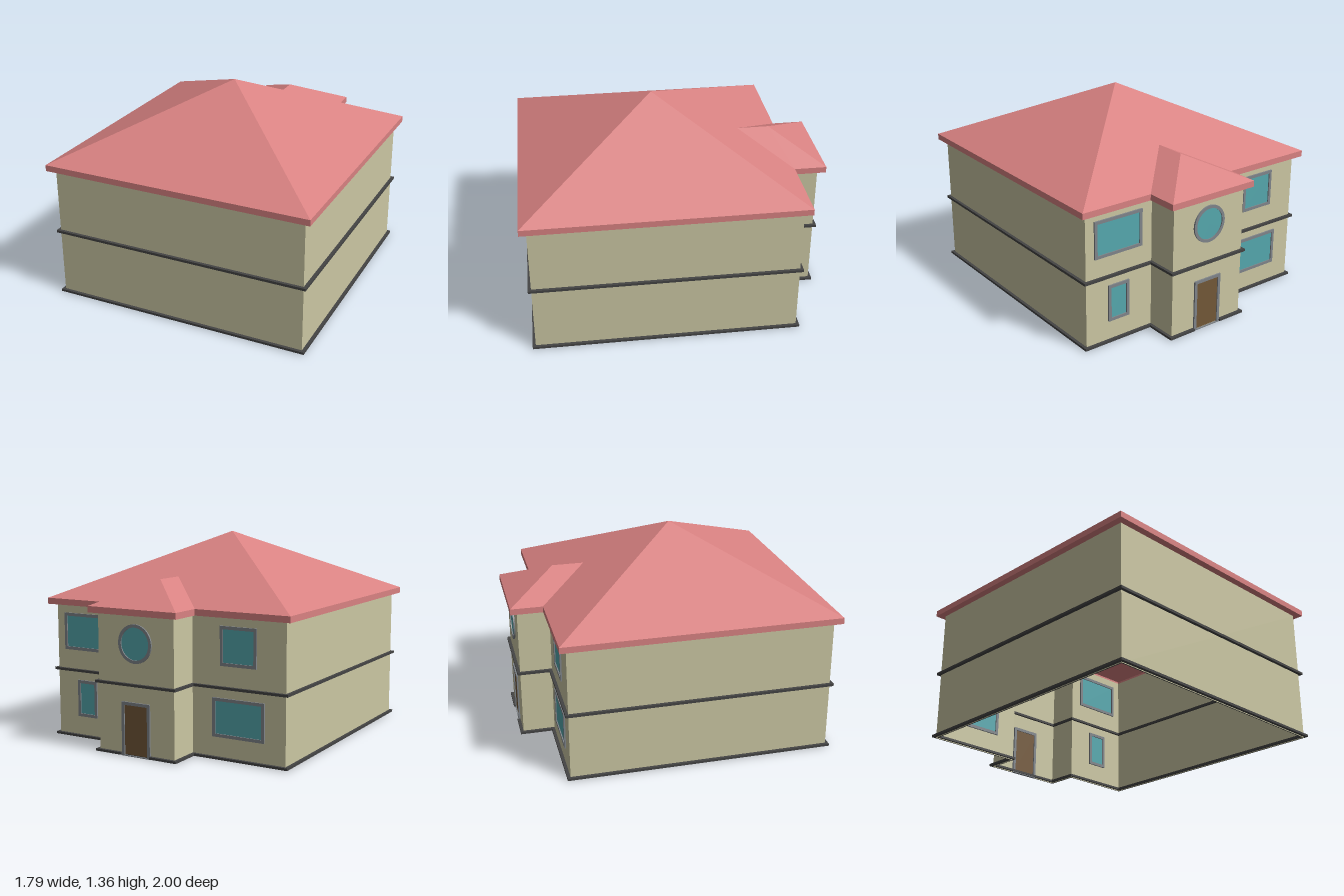
import * as THREE from 'three';

const mat = (color, side = THREE.FrontSide) => {
  const m = new THREE.MeshStandardMaterial({ color });
  m.side = side;
  return m;
};
const WALL = mat(0xcbc7a3, THREE.DoubleSide);
const ROOF = mat(0xd98282, THREE.DoubleSide);
const TRIM = mat(0x444444);
const FRAME = mat(0x80858a);
const GLASS = mat(0x55a8ae);
const WOOD = mat(0x735838);

const EAVE = 0.89, FASCIA = 0.93, PITCH = 0.475;
const BACK = -0.745, PORCH = -0.955; // planes of the back wall and the projecting bay
const DOOR_X = 0.075;

// Floor plan as [x, z] corners, grown outward by d
const outline = (d) => [
  [-0.85 - d, 0.955 + d], [0.85 + d, 0.955 + d],
  [0.85 + d, BACK - d], [0.355 + d, BACK - d],
  [0.355 + d, PORCH - d], [-0.205 - d, PORCH - d],
  [-0.205 - d, BACK - d], [-0.85 - d, BACK - d],
];

function mesh(name, geometry, material) {
  const m = new THREE.Mesh(geometry, material);
  m.name = name;
  return m;
}

// Flat faces from convex or fan-shaped polygons
function faces(polygons) {
  const pos = [];
  for (const p of polygons) {
    for (let i = 1; i < p.length - 1; i++) pos.push(...p[0], ...p[i], ...p[i + 1]);
  }
  const g = new THREE.BufferGeometry();
  g.setAttribute('position', new THREE.Float32BufferAttribute(pos, 3));
  g.computeVertexNormals();
  return g;
}

// Upright strip following a plan outline
const strip = (pts, y0, y1) => pts.map(([ax, az], i) => {
  const [bx, bz] = pts[(i + 1) % pts.length];
  return [[ax, y0, az], [bx, y0, bz], [bx, y1, bz], [ax, y1, az]];
});

const toVec = (pts) => pts.map(([x, z]) => new THREE.Vector2(x, -z));

// Horizontal ring between two plan outlines
function ring(outer, inner, y, height) {
  const s = new THREE.Shape(toVec(outer));
  s.holes.push(new THREE.Path(toVec(inner)));
  const g = height
    ? new THREE.ExtrudeGeometry(s, { depth: height, bevelEnabled: false })
    : new THREE.ShapeGeometry(s);
  return g.rotateX(-Math.PI / 2).translate(0, y, 0);
}

const rect = (Type, x0, y0, x1, y1) => new Type().moveTo(x0, y0).lineTo(x1, y0)
  .lineTo(x1, y1).lineTo(x0, y1).closePath();

// Framed panel on a back-facing wall
function opening(name, x, z, w, y0, y1, panel, border = 0.02, bottom = border) {
  const g = new THREE.Group();
  g.name = name;
  const s = rect(THREE.Shape, -w / 2, y0, w / 2, y1);
  s.holes.push(rect(THREE.Path, -w / 2 + border, y0 + bottom, w / 2 - border, y1 - border));
  const frame = mesh(name + 'Frame', new THREE.ExtrudeGeometry(s, { depth: 0.02, bevelEnabled: false }), FRAME);
  frame.position.z = -0.01;
  const h = y1 - y0;
  const pane = mesh(name + 'Panel', new THREE.BoxGeometry(w - border, h - border, 0.006), panel);
  pane.position.y = y0 + h / 2;
  g.add(frame, pane);
  g.position.set(x, 0, z);
  g.rotation.y = Math.PI;
  return g;
}

function roundWindow(x, y, z, r) {
  const g = new THREE.Group();
  g.name = 'roundWindow';
  const s = new THREE.Shape().absarc(0, 0, r, 0, Math.PI * 2);
  s.holes.push(new THREE.Path().absarc(0, 0, r - 0.02, 0, Math.PI * 2));
  const frame = mesh('roundWindowFrame',
    new THREE.ExtrudeGeometry(s, { depth: 0.02, bevelEnabled: false, curveSegments: 32 }), FRAME);
  frame.position.z = -0.01;
  const pane = mesh('roundWindowPanel',
    new THREE.CylinderGeometry(r - 0.01, r - 0.01, 0.006, 32).rotateX(Math.PI / 2), GLASS);
  g.add(frame, pane);
  g.position.set(x, y, z);
  g.rotation.y = Math.PI;
  return g;
}

function createRoof() {
  const g = new THREE.Group();
  g.name = 'roof';
  const eaves = outline(0.045);
  const [fl, fr, br, valleyR, bayR, bayL, valleyL, bl] = eaves.map(([x, z]) => [x, FASCIA, z]);
  const half = fr[0], bayHalf = (bayR[0] - bayL[0]) / 2;
  const bayX = (bayR[0] + bayL[0]) / 2, ridgeY = FASCIA + bayHalf * PITCH;
  const apex = [0, FASCIA + half * PITCH, (fl[2] + bl[2]) / 2];
  const ridgeIn = [bayX, ridgeY, bl[2] + bayHalf];
  const ridgeOut = [bayX, ridgeY, bayR[2] + bayHalf];
  const slopes = [
    [fl, fr, apex], [fr, br, apex], [bl, fl, apex],
    [apex, br, valleyR, ridgeIn, valleyL, bl],
    [bayR, bayL, ridgeOut],
    [valleyR, bayR, ridgeOut, ridgeIn],
    [bayL, valleyL, ridgeIn, ridgeOut],
  ];
  g.add(
    mesh('roofSlopes', faces(slopes), ROOF),
    mesh('fascia', faces(strip(eaves, EAVE, FASCIA)), ROOF),
    mesh('soffit', ring(eaves, outline(0), EAVE, 0), ROOF),
  );
  return g;
}

export function createModel() {
  const house = new THREE.Group();
  house.name = 'house';

  // Hollow shell, open underneath
  house.add(mesh('walls', faces(strip(outline(0), 0, EAVE)), WALL), createRoof());

  // Trim bands; the lower one is interrupted by the doorway
  const inner = outline(-0.015), lower = outline(0.02);
  const dl = DOOR_X - 0.105, dr = DOOR_X + 0.105;
  lower.splice(5, 0, [dr, PORCH - 0.02], [dr, PORCH], [dl, PORCH], [dl, PORCH - 0.02]);
  house.add(
    mesh('baseBand', ring(lower, inner, 0.005, 0.015), TRIM),
    mesh('floorBand', ring(outline(0.02), inner, 0.447, 0.016), TRIM),
  );

  // Windows: name, x, width, bottom, top
  const windows = [
    ['upperWideWindow', 0.61, 0.355, 0.59, 0.835],
    ['lowerNarrowWindow', 0.61, 0.155, 0.145, 0.39],
    ['upperSquareWindow', -0.53, 0.25, 0.59, 0.835],
    ['lowerWideWindow', -0.53, 0.36, 0.145, 0.39],
  ];
  for (const [name, x, w, y0, y1] of windows) {
    house.add(opening(name, x, BACK, w, y0, y1, GLASS));
  }

  // Entrance bay
  house.add(
    opening('door', DOOR_X, PORCH, 0.21, 0, 0.345, WOOD, 0.02, 0.006),
    roundWindow(DOOR_X, 0.712, PORCH, 0.122),
  );
  return house;
}
